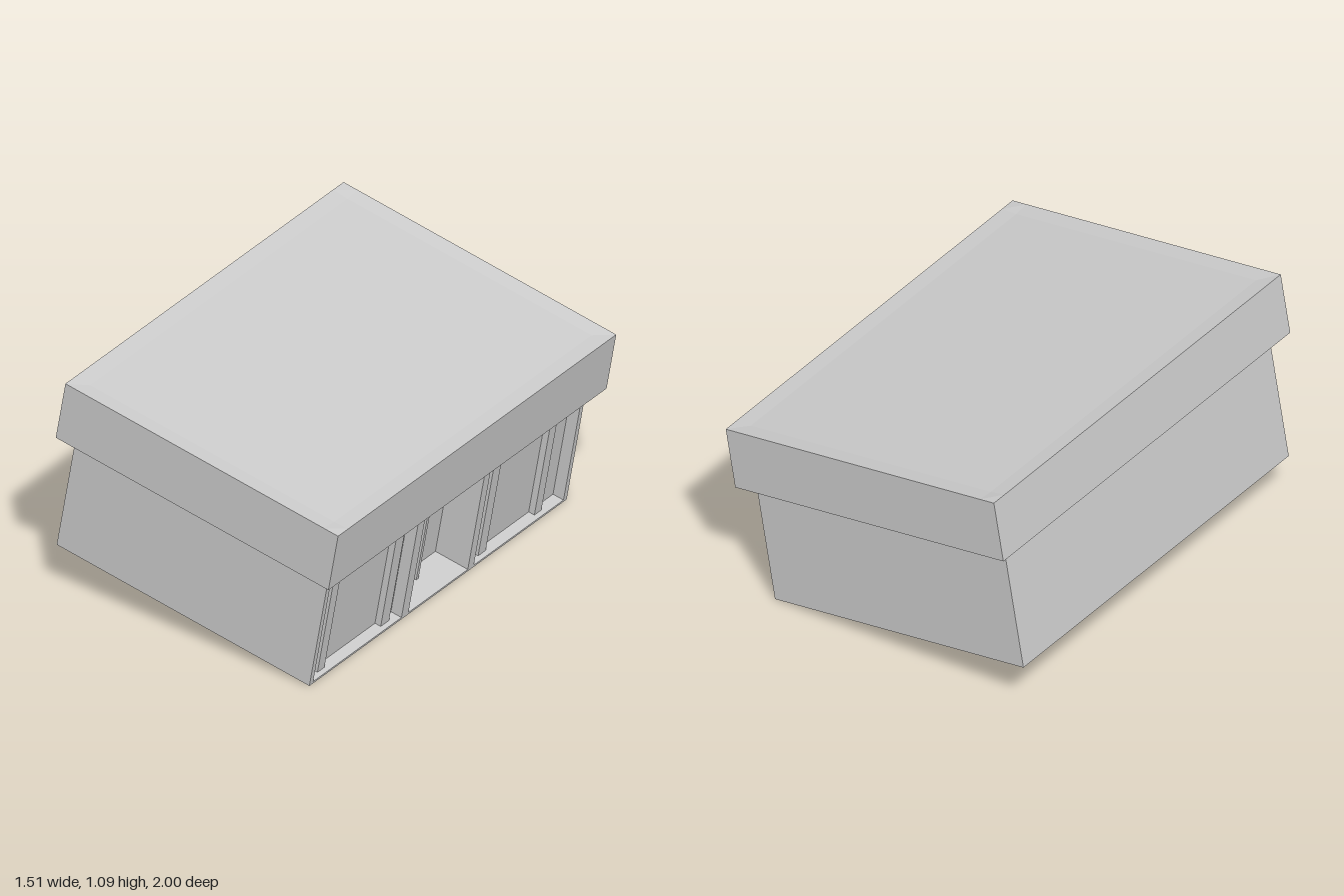
import * as THREE from 'three';

const material = new THREE.MeshStandardMaterial({ color: 0xcccccc, flatShading: true });

function add(parent, name, geometry, x = 0, y = 0, z = 0) {
  const mesh = new THREE.Mesh(geometry, material);
  mesh.name = name;
  mesh.position.set(x, y, z);
  parent.add(mesh);
  return mesh;
}

// Extrudes a plan given as [x, z] points upwards.
function extrudePlan(points, height) {
  const shape = new THREE.Shape(points.map(([x, z]) => new THREE.Vector2(x, -z)));
  return new THREE.ExtrudeGeometry(shape, { depth: height, bevelEnabled: false }).rotateX(-Math.PI / 2);
}

// Roof block whose top dips very slightly inside a narrow rim.
function roofGeometry(w, h, d, rim, dip) {
  const geometry = new THREE.BoxGeometry(w, h, d, 3, 1, 3);
  const p = geometry.attributes.position;
  for (let i = 0; i < p.count; i++) {
    const x = p.getX(i), y = p.getY(i), z = p.getZ(i);
    const innerX = Math.abs(x) < w * 0.4, innerZ = Math.abs(z) < d * 0.4;
    if (innerX) p.setX(i, Math.sign(x) * (w / 2 - rim));
    if (innerZ) p.setZ(i, Math.sign(z) * (d / 2 - rim));
    if (innerX && innerZ && y > 0) p.setY(i, y - dip);
  }
  geometry.computeVertexNormals();
  return geometry;
}

export function createModel() {
  const model = new THREE.Group();
  model.name = 'shopBuilding';

  // The whole building leans forward on its front bottom edge; its shop front faces +x.
  const building = new THREE.Group();
  building.name = 'building';
  building.position.x = 0.55;
  building.rotation.z = -THREE.MathUtils.degToRad(10);
  model.add(building);

  const depth = 1.325, halfWidth = 0.925, sill = 0.01, wallTop = 0.58;
  const windowRecess = 0.055, doorRecess = 0.17;

  // Floor slab
  add(building, 'floorSlab', new THREE.BoxGeometry(depth, sill, halfWidth * 2), -depth / 2, sill / 2, 0);

  // Walls with two recessed windows and a deep doorway
  const plan = [[-depth, halfWidth], [0, halfWidth]];
  const recesses = [
    [0.9, 0.265, windowRecess],
    [0.215, -0.212, doorRecess],
    [-0.255, -0.9, windowRecess],
  ];
  for (const [z0, z1, r] of recesses) plan.push([0, z0], [-r, z0], [-r, z1], [0, z1]);
  plan.push([0, -halfWidth], [-depth, -halfWidth]);
  add(building, 'walls', extrudePlan(plan, wallTop - sill), 0, sill, 0);

  // Upright mullions standing in the windows
  const wallHeight = wallTop - sill, midY = (wallTop + sill) / 2;
  for (const [z0, z1] of [[0.835, 0.785], [0.38, 0.32], [-0.32, -0.375], [-0.725, -0.775]]) {
    add(building, 'windowMullion', new THREE.BoxGeometry(0.03, wallHeight, z0 - z1),
      -windowRecess + 0.015, midY, (z0 + z1) / 2);
  }

  // Thin centre post of the doorway
  add(building, 'doorPost', new THREE.BoxGeometry(0.06, wallHeight, 0.016), -doorRecess + 0.03, midY, 0);

  // Overhanging roof
  const roofHeight = 0.287;
  add(building, 'roof', roofGeometry(1.43, roofHeight, 2, 0.075, 0.006), -depth / 2, wallTop + roofHeight / 2, 0);

  return model;
}
